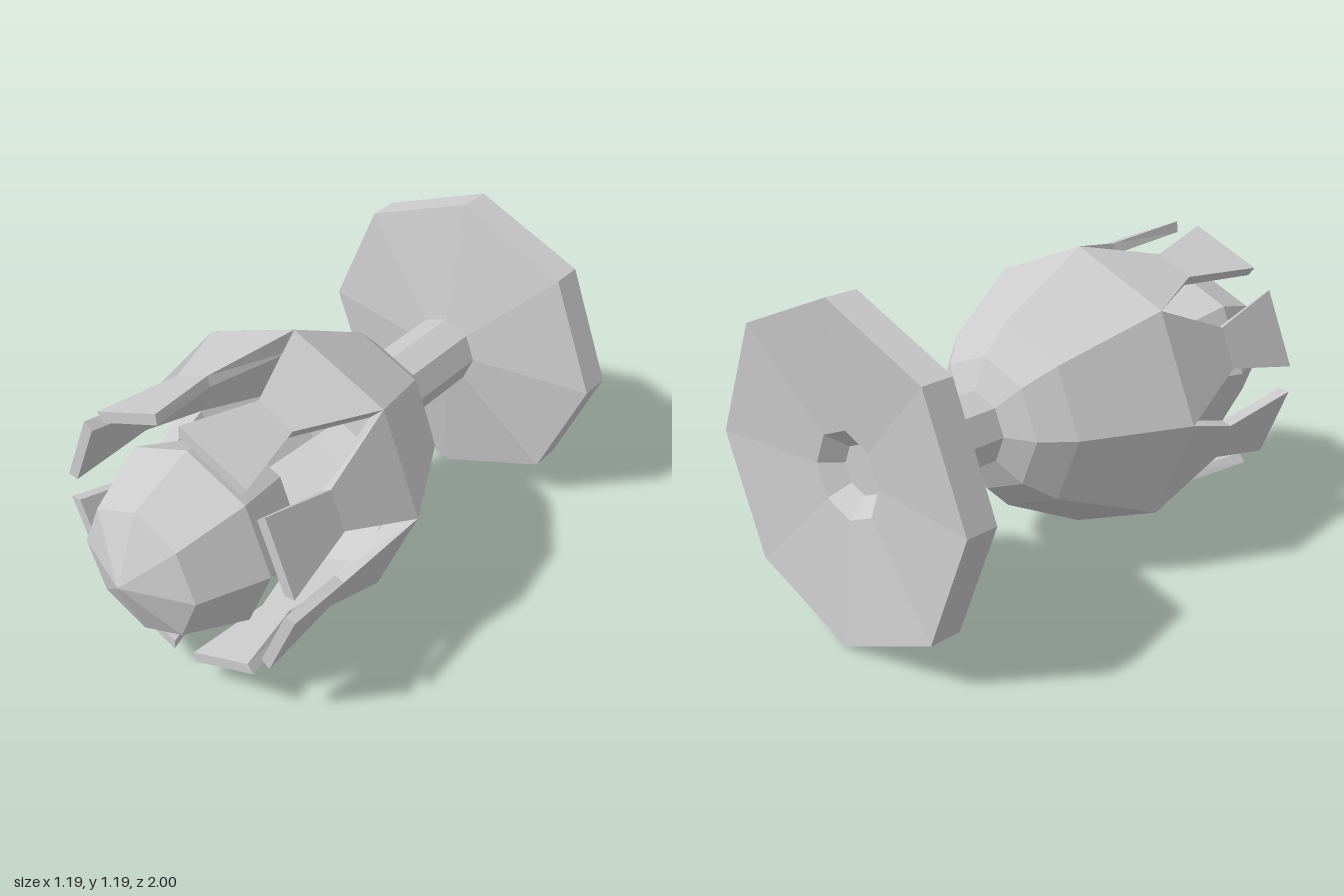
import * as THREE from 'three';

const SIDES = 8;
const material = new THREE.MeshStandardMaterial({ color: 0xcccccc, flatShading: true });

// Eight-sided turned part from [radius, z] pairs, its axis along z
function turned(name, profile) {
  const points = profile.map(([r, z]) => new THREE.Vector2(r, z));
  const geometry = new THREE.LatheGeometry(points, SIDES).rotateX(Math.PI / 2);
  const mesh = new THREE.Mesh(geometry, material);
  mesh.name = name;
  return mesh;
}

// Waisted petal lofted through rectangular cross-sections along z, facing +y
function petalGeometry() {
  // z, outer distance, outer half width, inner distance, inner half width
  const sections = [
    [0.12, 0.494, 0.205, 0.42, 0.174],
    [0.43, 0.472, 0.076, 0.432, 0.07],
    [0.73, 0.486, 0.147, 0.446, 0.136],
  ];
  const positions = [];
  const index = [];
  for (const [z, dOut, wOut, dIn, wIn] of sections) {
    positions.push(wOut, dOut, z, -wOut, dOut, z, -wIn, dIn, z, wIn, dIn, z);
  }
  for (let s = 0; s < sections.length - 1; s++) {
    for (let i = 0; i < 4; i++) {
      const a = s * 4 + i;
      const b = s * 4 + (i + 1) % 4;
      index.push(a, b, b + 4, a, b + 4, a + 4);
    }
  }
  // End cap at the tip
  const e = (sections.length - 1) * 4;
  index.push(e, e + 1, e + 2, e, e + 2, e + 3);
  const geometry = new THREE.BufferGeometry();
  geometry.setAttribute('position', new THREE.Float32BufferAttribute(positions, 3));
  geometry.setIndex(index);
  geometry.computeVertexNormals();
  return geometry;
}

export function createModel() {
  const model = new THREE.Group();
  model.name = 'knob';
  const body = new THREE.Group();
  body.name = 'body';
  body.position.y = 0.597;
  model.add(body);

  // Mounting plate with a dished back and a central recess
  body.add(turned('basePlate', [
    [0, -0.89], [0.09, -0.89], [0.155, -0.955], [0.597, -1], [0.597, -0.88], [0.135, -0.8],
  ]));

  body.add(turned('neck', [[0.135, -0.82], [0.135, -0.38]]));

  // Hollow cup: outer wall, rim, inner wall
  body.add(turned('cup', [
    [0.13, -0.4], [0.245, -0.35], [0.343, -0.25], [0.535, 0.12],
    [0.455, 0.12], [0.28, -0.22], [0.19, -0.3], [0, -0.33],
  ]));

  // Petals, one continuing each face of the cup
  const petals = new THREE.Group();
  petals.name = 'petals';
  const geometry = petalGeometry();
  for (let i = 0; i < SIDES; i++) {
    const petal = new THREE.Mesh(geometry, material);
    petal.name = 'petal';
    petal.rotation.z = (i + 0.5) * 2 * Math.PI / SIDES;
    petals.add(petal);
  }
  body.add(petals);

  // Faceted bulb held between the petals
  body.add(turned('bulb', [
    [0, 0.31], [0.245, 0.405], [0.345, 0.655], [0.245, 0.9], [0, 1],
  ]));

  return model;
}
